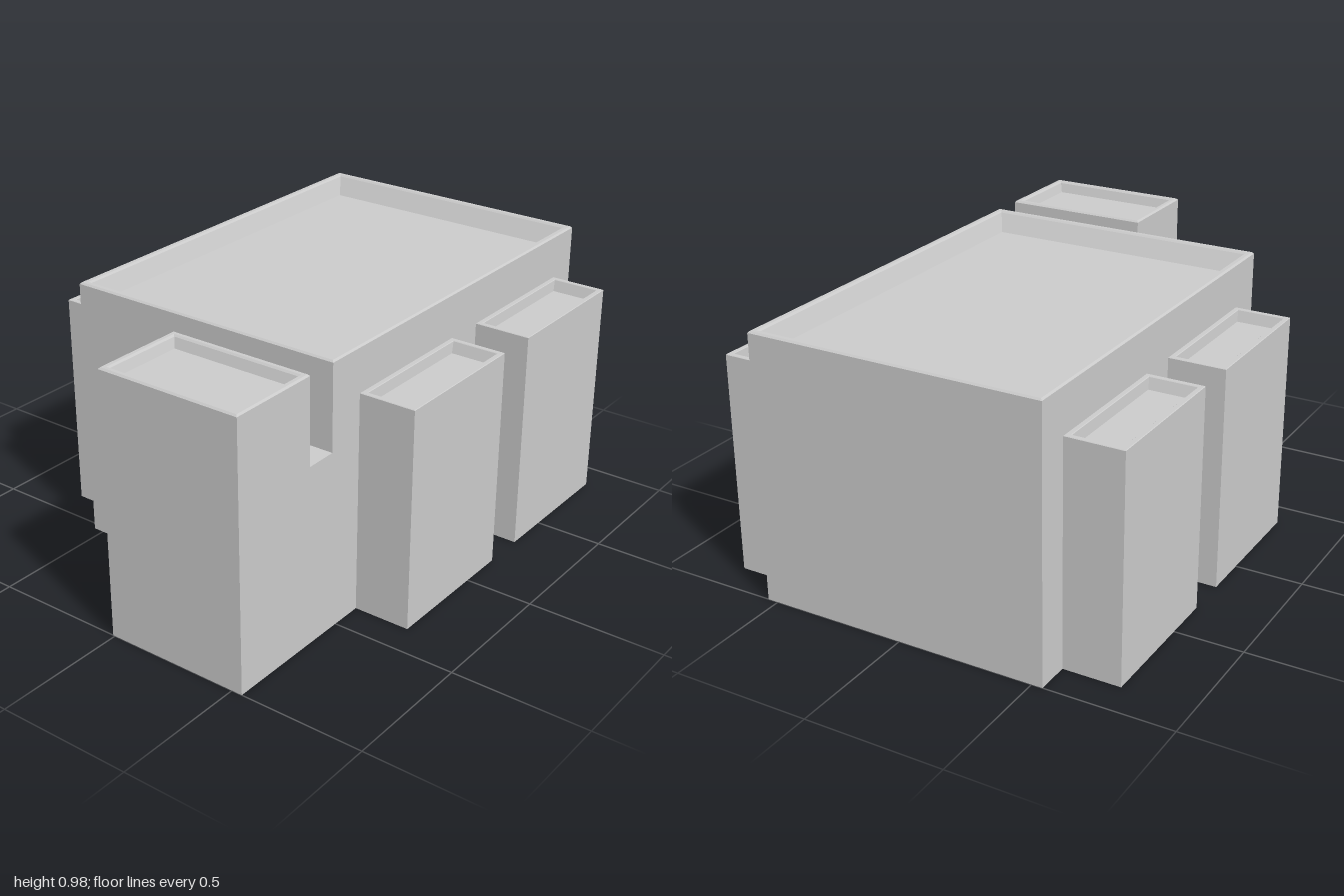
import * as THREE from 'three';

// Open-bottomed shells, so both sides show
const material = new THREE.MeshStandardMaterial({
  color: 0xcccccc, flatShading: true, side: THREE.DoubleSide,
});

// Skins a stack of equal-length loops of points; optionally caps the last (rectangular) one
function loftedShell(name, loops, capped) {
  const pos = [];
  const quad = (a, b, c, d) => pos.push(...a, ...b, ...c, ...a, ...c, ...d);
  for (let r = 0; r < loops.length - 1; r++) {
    const [low, high] = [loops[r], loops[r + 1]];
    low.forEach((p, k) => {
      const n = (k + 1) % low.length;
      quad(p, low[n], high[n], high[k]);
    });
  }
  if (capped) quad(...loops[loops.length - 1]);
  const geometry = new THREE.BufferGeometry();
  geometry.setAttribute('position', new THREE.Float32BufferAttribute(pos, 3));
  geometry.computeVertexNormals();
  const mesh = new THREE.Mesh(geometry, material);
  mesh.name = name;
  return mesh;
}

const rectangle = (x0, x1, z0, z1, y) => [[x0, y, z1], [x1, y, z1], [x1, y, z0], [x0, y, z0]];

// Walls with a raised rim (edge softened by b) around a recessed roof
function parapetBlock(name, [x0, x1, z0, z1], y0, h, { b, rim, floorX, floorZ, depth }) {
  const rings = [
    [0, 0, y0], [0, 0, h - b], [b, b, h], [rim - b, rim - b, h],
    [rim, rim, h - b], [floorX, floorZ, h - depth],
  ];
  const loops = rings.map(([ix, iz, y]) => rectangle(x0 + ix, x1 - ix, z0 + iz, z1 - iz, y));
  return loftedShell(name, loops, true);
}

export function createModel() {
  const model = new THREE.Group();
  model.name = 'building';

  const linkY = 0.66, hallFront = 0.528, towerBack = 0.647, towerX = -0.008;

  // Continuous lower walls around hall, link and tower
  const footprint = [
    [-0.54, hallFront], [towerX, hallFront], [towerX, 1], [0.54, 1], [0.54, -1], [-0.54, -1],
  ];
  model.add(loftedShell('lowerWalls', [0, linkY].map((y) => footprint.map(([x, z]) => [x, y, z])), false));

  // Upper hall and front tower, with the low link roof between them
  model.add(parapetBlock('upperHall', [-0.54, 0.54, -1, hallFront], linkY, 0.98,
    { b: 0.006, rim: 0.027, floorX: 0.053, floorZ: 0.067, depth: 0.07 }));
  model.add(parapetBlock('upperTower', [towerX, 0.54, towerBack, 1], linkY, 0.98,
    { b: 0.006, rim: 0.025, floorX: 0.036, floorZ: 0.038, depth: 0.04 }));
  model.add(loftedShell('linkRoof', [rectangle(towerX, 0.54, hallFront, towerBack, linkY)], true));

  // Two side bays on each flank
  for (const side of [-1, 1]) {
    for (const [label, z0, z1] of [['rear', -0.875, -0.325], ['front', -0.167, 0.381]]) {
      const [x0, x1] = side > 0 ? [0.54, 0.75] : [-0.75, -0.54];
      const name = `${label}${side > 0 ? 'Left' : 'Right'}Bay`;
      model.add(parapetBlock(name, [x0, x1, z0, z1], 0, 0.815,
        { b: 0.002, rim: 0.019, floorX: 0.024, floorZ: 0.034, depth: 0.04 }));
    }
  }
  return model;
}
